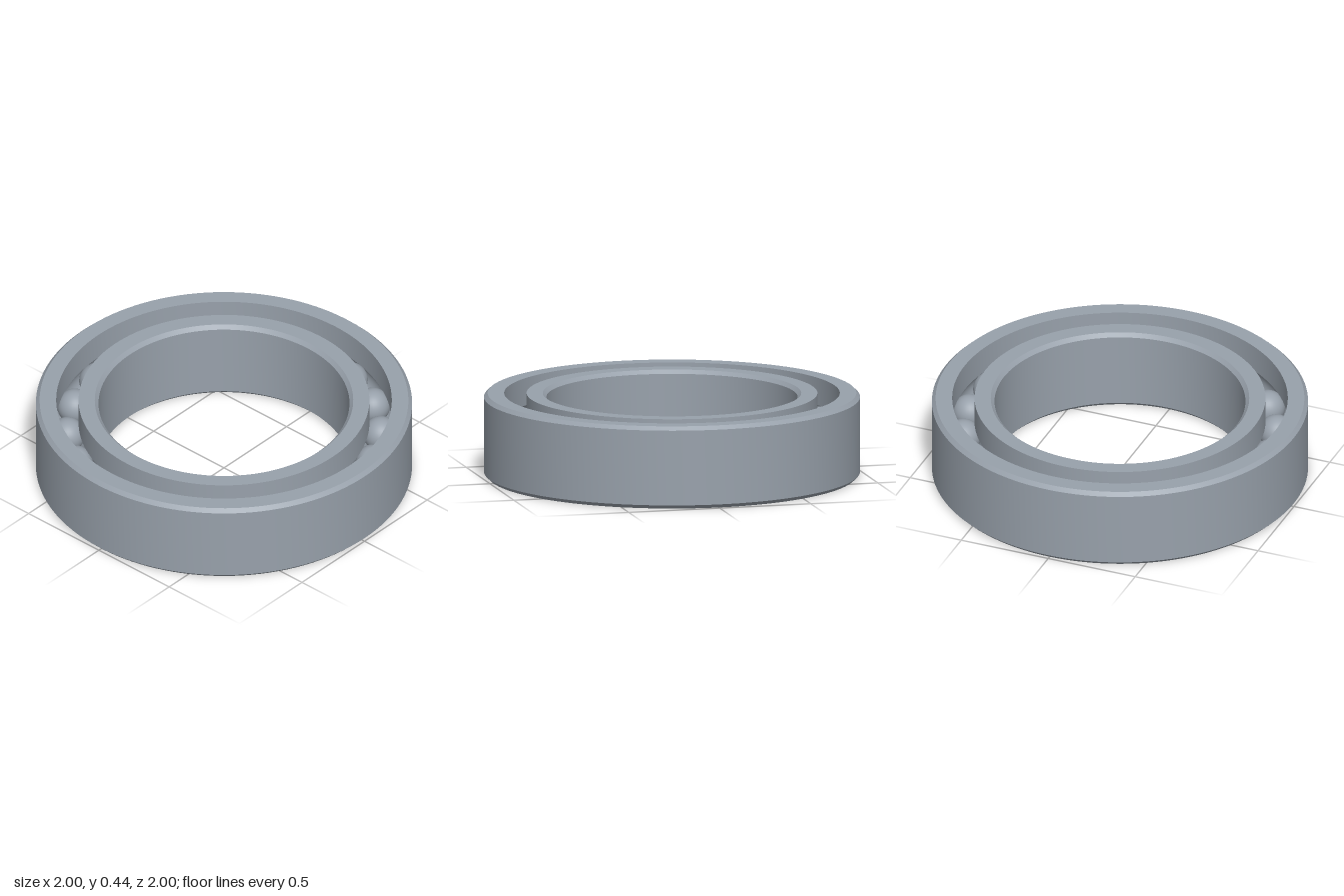
import * as THREE from 'three';
import { toCreasedNormals } from 'three/addons/utils/BufferGeometryUtils.js';

const HEIGHT = 0.444, CHAMFER = 0.02;
const BORE = 0.667, INNER_LAND = 0.773, OUTER_LAND = 0.892, RIM = 1;
const PITCH = (INNER_LAND + OUTER_LAND) / 2;
const BALL_RADIUS = 0.094, BALL_COUNT = 20, FIRST_BALL = THREE.MathUtils.degToRad(-6);

// Arc of the ball groove: side +1 cuts the outer ring (run downward), -1 the inner ring (run upward)
function groove(side) {
  const r = BALL_RADIUS + 0.001, steps = 14;
  const half = Math.acos((OUTER_LAND - PITCH) / r);
  return Array.from({ length: steps + 1 }, (_, i) => {
    const t = side * half * (1 - 2 * i / steps);
    return [PITCH + side * r * Math.cos(t), HEIGHT / 2 + r * Math.sin(t)];
  });
}

// Closed section, counter-clockwise, turned about the y axis
function ring(name, section, material) {
  const points = [...section, section[0]].map(([x, y]) => new THREE.Vector2(x, y));
  const geometry = toCreasedNormals(new THREE.LatheGeometry(points, 128), 0.5);
  const mesh = new THREE.Mesh(geometry, material);
  mesh.name = name;
  return mesh;
}

export function createModel() {
  const model = new THREE.Group();
  model.name = 'ballBearing';
  const steel = new THREE.MeshStandardMaterial({ color: 0x98a1ab });
  steel.name = 'steel';

  // Outer ring, chamfered on the rim and grooved inside
  model.add(ring('outerRing', [
    [OUTER_LAND, 0], [RIM - CHAMFER, 0], [RIM, CHAMFER],
    [RIM, HEIGHT - CHAMFER], [RIM - CHAMFER, HEIGHT], [OUTER_LAND, HEIGHT],
    ...groove(1),
  ], steel));

  // Inner ring, chamfered at the bore and grooved outside
  model.add(ring('innerRing', [
    [BORE + CHAMFER, 0], [INNER_LAND, 0],
    ...groove(-1),
    [INNER_LAND, HEIGHT], [BORE + CHAMFER, HEIGHT],
    [BORE, HEIGHT - CHAMFER], [BORE, CHAMFER],
  ], steel));

  // Balls spaced evenly in the groove
  const balls = new THREE.Group();
  balls.name = 'balls';
  const ballGeometry = new THREE.SphereGeometry(BALL_RADIUS, 32, 20);
  for (let i = 0; i < BALL_COUNT; i++) {
    const a = FIRST_BALL + i * Math.PI * 2 / BALL_COUNT;
    const ball = new THREE.Mesh(ballGeometry, steel);
    ball.name = `ball${i + 1}`;
    ball.position.set(PITCH * Math.cos(a), HEIGHT / 2, PITCH * Math.sin(a));
    balls.add(ball);
  }
  model.add(balls);
  return model;
}
